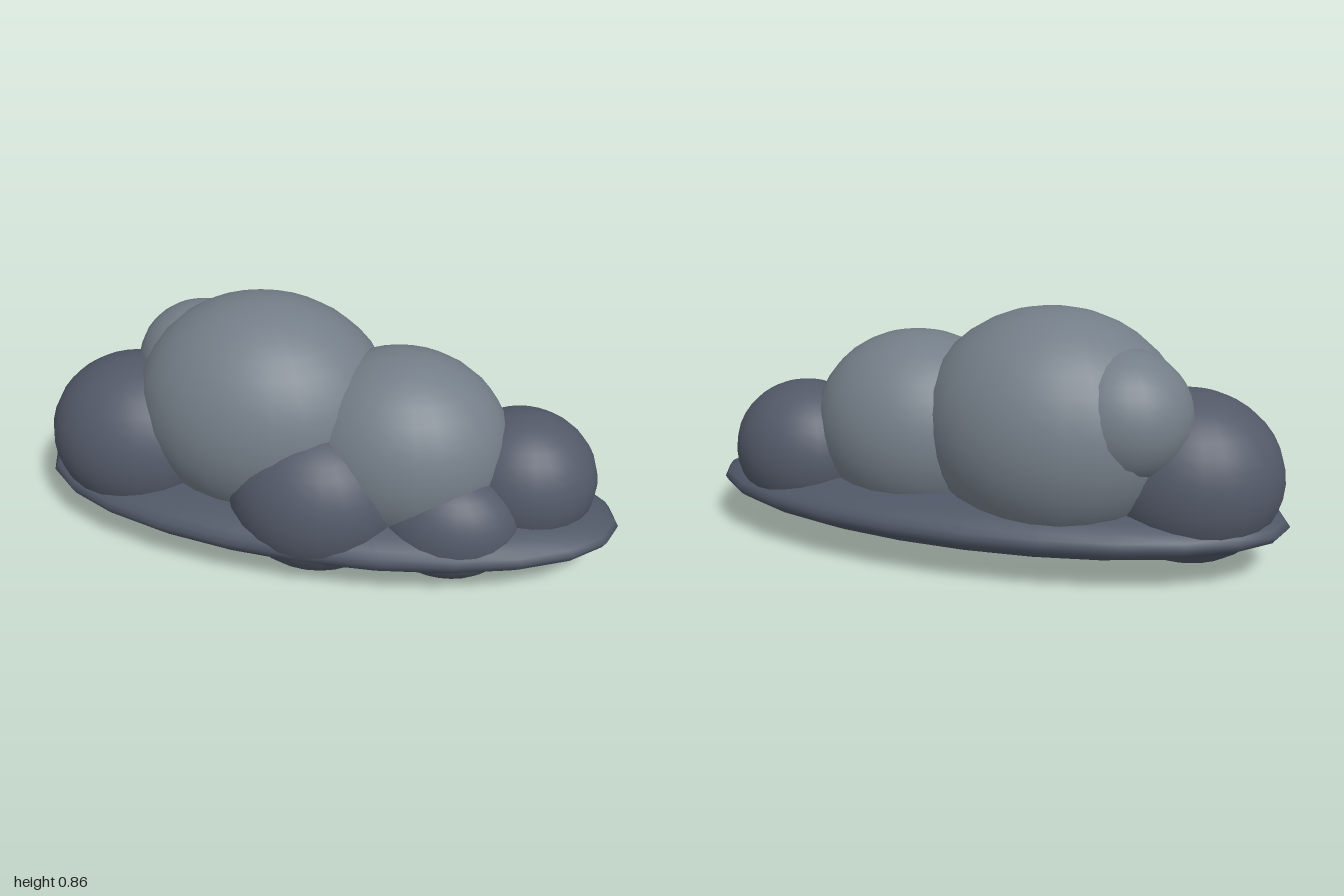
import * as THREE from 'three';

export function createModel() {
  const cloud = new THREE.Group();
  cloud.name = 'stormCloud';

  const paint = (name, color) => {
    const material = new THREE.MeshStandardMaterial({ color });
    material.name = name;
    return material;
  };
  const light = paint('light grey', 0x747e88);
  const dark = paint('dark grey', 0x535968);
  const slate = paint('slate grey', 0x4f5766);

  // Every puff is one smooth sphere, stretched along its axes.
  const sphere = new THREE.SphereGeometry(1, 24, 18);
  const puff = (name, material, centre, radii) => {
    const mesh = new THREE.Mesh(sphere, material);
    mesh.name = name;
    mesh.position.set(...centre);
    mesh.scale.set(...radii);
    cloud.add(mesh);
  };

  // Flat underside
  puff('flatBase', slate, [0, 0.177, 0], [1, 0.12, 0.39]);

  // Pale upper puffs
  puff('mainPuff', light, [-0.22, 0.47, -0.045], [0.44, 0.39, 0.367]);
  puff('leftUpperPuff', light, [0.26, 0.41, 0], [0.36, 0.328, 0.31]);
  puff('rearPuff', light, [-0.46, 0.55, -0.14], [0.23, 0.22, 0.21]);

  // Dark lower puffs
  puff('rightEndPuff', dark, [-0.66, 0.32, 0], [0.315, 0.29, 0.275]);
  puff('leftEndPuff', dark, [0.66, 0.3, -0.045], [0.255, 0.24, 0.226]);
  puff('frontPuff', dark, [0, 0.275, 0.155], [0.3, 0.272, 0.255]);
  puff('smallFrontPuff', dark, [0.44, 0.22, 0.15], [0.24, 0.197, 0.182]);

  return cloud;
}
